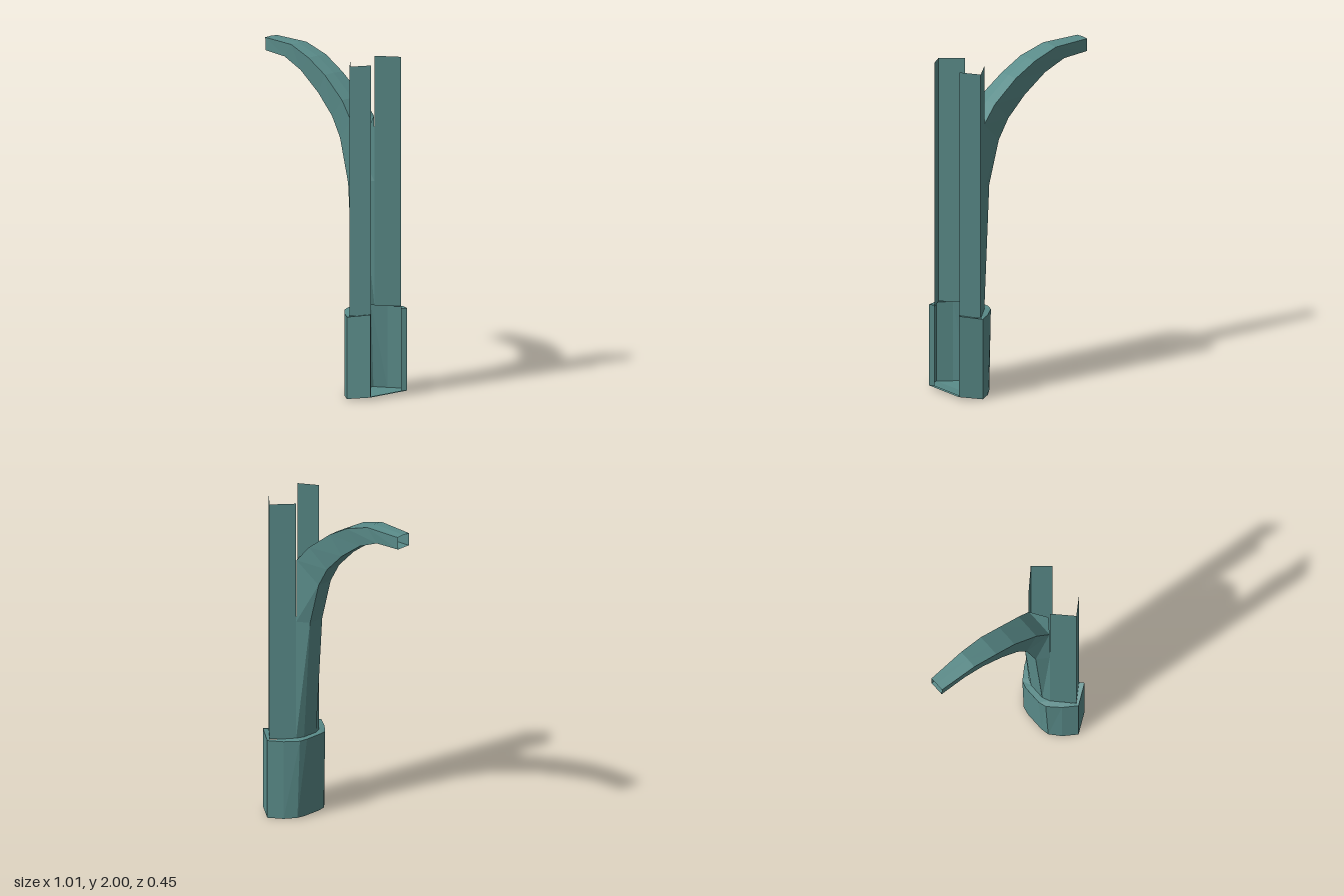
import * as THREE from 'three';

const material = new THREE.MeshStandardMaterial({
  color: 0x5a8c8a, flatShading: true, side: THREE.DoubleSide,
});

// Skin a surface over rows of [x, y, z] points.
function loft(name, rows) {
  const n = rows[0].length, index = [];
  for (let r = 0; r < rows.length - 1; r++) {
    for (let i = 0; i < n - 1; i++) {
      const a = r * n + i, b = a + n;
      index.push(a, a + 1, b + 1, a, b + 1, b);
    }
  }
  const geometry = new THREE.BufferGeometry();
  geometry.setAttribute('position', new THREE.Float32BufferAttribute(rows.flat(2), 3));
  geometry.setIndex(index);
  geometry.computeVertexNormals();
  const mesh = new THREE.Mesh(geometry, material);
  mesh.name = name;
  return mesh;
}

const flip = (points) => points.map(([x, y, z]) => [x, y, -z]);
// Full outline from the +z half, running from the -z end round the front to the +z end.
const mirrored = (half) => [...flip(half).reverse(), ...half];

export function createModel() {
  const group = new THREE.Group();

  // Half outlines, from the front centre to the open back
  const baseBottom = [[0.245, 0.005, 0.06], [0.255, 0.005, 0.11], [0.31, 0, 0.17],
    [0.39, 0, 0.225], [0.505, 0.015, 0.145], [0.483, 0.015, 0.12]];
  const baseTop = [[0.225, 0.5, 0.06], [0.24, 0.495, 0.105], [0.31, 0.49, 0.17],
    [0.39, 0.49, 0.225], [0.505, 0.51, 0.145], [0.483, 0.51, 0.12]];
  const ledgeInner = [[0.26, 0.5, 0.05], [0.28, 0.5, 0.095], [0.33, 0.495, 0.145],
    [0.39, 0.49, 0.205], [0.483, 0.505, 0.12], [0.483, 0.51, 0.12]];
  const columnTop = [[0.28, 1.99, 0.095], [0.39, 1.985, 0.205], [0.483, 1.995, 0.12]];

  // Foot: wall, sloping ledge and floor
  group.add(loft('baseWall', [mirrored(baseBottom), mirrored(baseTop)]));
  group.add(loft('baseLedge', [mirrored(baseTop), mirrored(ledgeInner)]));
  group.add(loft('baseFloor', [flip(baseBottom), baseBottom]));

  // Two folded column sides, open at the back and slotted at the front
  const columnBottom = columnTop.map(([x, , z]) => [x, 0.495, z]);
  group.add(loft('columnSideLeft', [columnBottom, columnTop]));
  group.add(loft('columnSideRight', [
    flip(columnBottom).reverse(), flip(columnTop).reverse()]));

  // Curved arm stations: outer x, y, half width; inner x, y, half width
  const stations = [
    [0.26, 0.5, 0.05, 0.28, 0.5, 0.095],
    [0.21, 1.24, 0.05, 0.28, 1.24, 0.095],
    [0.14, 1.5, 0.05, 0.28, 1.63, 0.093],
    [0.07, 1.62, 0.05, 0.19, 1.735, 0.08],
    [-0.05, 1.74, 0.05, 0.03, 1.86, 0.07],
    [-0.2, 1.85, 0.05, -0.11, 1.94, 0.07],
    [-0.34, 1.91, 0.05, -0.27, 1.993, 0.06],
    [-0.51, 1.92, 0.045, -0.51, 1.997, 0.047],
  ];
  group.add(loft('armShell', stations.map(([ox, oy, ow, ix, iy, iw]) =>
    mirrored([[ox, oy, ow], [ix, iy, iw]]))));

  // Faintly ridged upper face of the arm, ending in a point inside the column
  const upper = stations.slice(2).map(([, , , x, y, w]) =>
    [[x, y, w], [x, y + 0.003, 0], [x, y, -w]]);
  const tip = [0.35, 1.605, 0];
  const root = [[0.28, 1.63, 0.093], tip, [0.28, 1.63, -0.093]];
  group.add(loft('armUpperFace', [root, ...upper]));

  return group;
}
